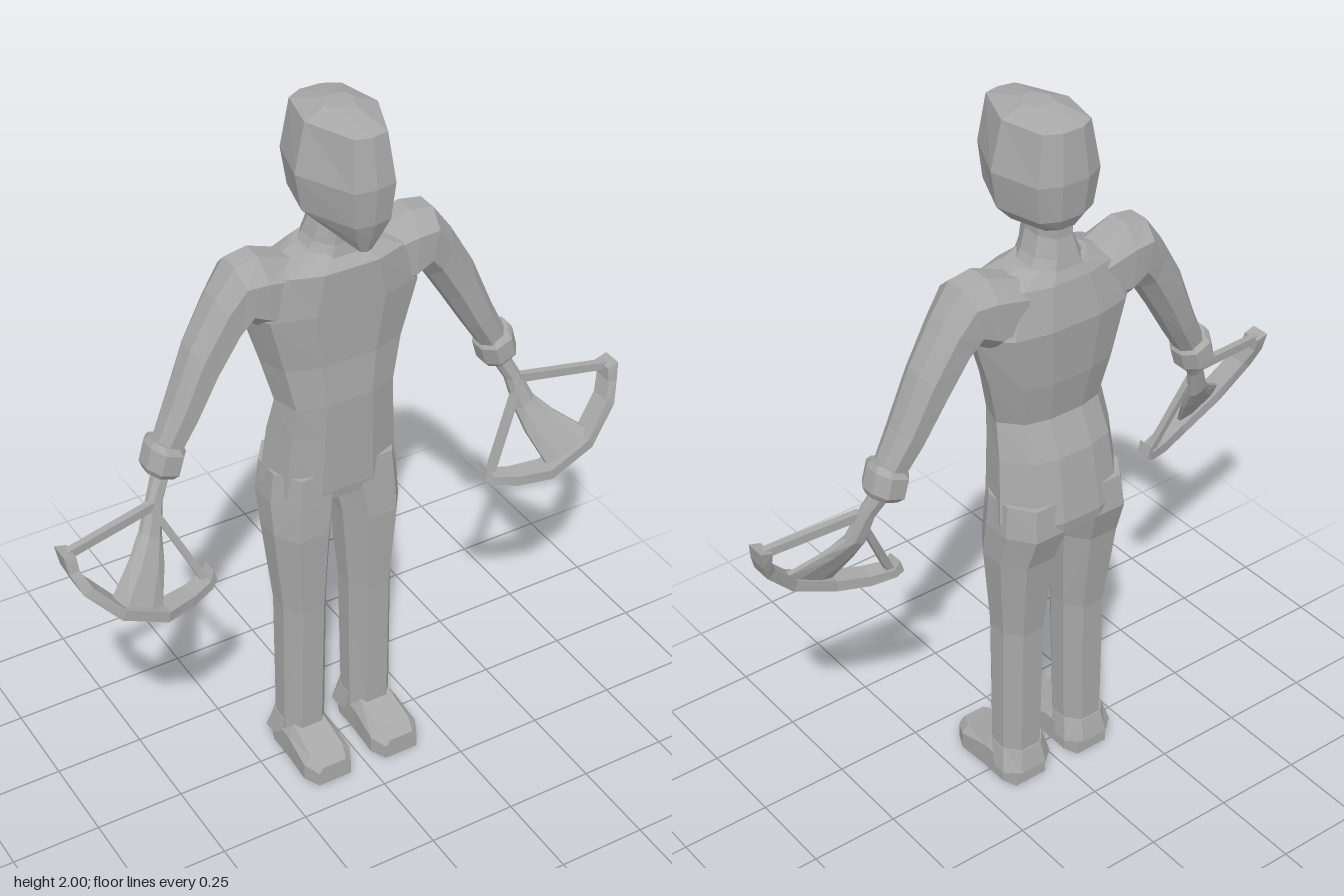
import * as THREE from 'three';

// Cross-section outlines: [t across the width, u from back to front]
const TRUNK = [[.3, 1], [.7, 1], [.93, .85], [1, .42], [.85, .1], [.65, 0], [.35, 0], [.15, .1], [0, .42], [.07, .85]];
const LIMB = [[.25, 1], [.75, 1], [1, .68], [1, .3], [.75, 0], [.25, 0], [0, .3], [0, .68]];
const HEAD = [[.28, .97], [.5, 1], [.72, .97], [1, .5], [.86, .08], [.65, 0], [.35, 0], [.14, .08], [0, .5]];
const BAR = [[0, 1], [1, 1], [1, 0], [0, 0]];

const grey = new THREE.MeshStandardMaterial({ color: 0xa8a8a8, flatShading: true });
grey.name = 'grey';

// One section spanning a to b in x and y, and zb to zf in depth; rise tilts its back upwards
function ring(shape, a, b, zf, zb, rise = 0) {
  return shape.map(([t, u]) => [
    a[0] + (b[0] - a[0]) * t,
    a[1] + (b[1] - a[1]) * t + rise * (1 - u),
    zb + (zf - zb) * u]);
}

// Closed skin through a series of sections, mirrored in x when side is -1
function loft(name, rings, side = 1) {
  const n = rings[0].length, last = rings.length - 1;
  const pts = rings.flat().map(([x, y, z]) => new THREE.Vector3(x * side, y, z));
  const centre = k => pts.slice(k * n, k * n + n)
    .reduce((s, p) => s.add(p), new THREE.Vector3()).divideScalar(n);
  const c0 = centre(0), c1 = centre(last), tris = [];
  for (let j = 0; j < n; j++) {
    const k = (j + 1) % n;
    for (let i = 0; i < last; i++) {
      const a = pts[i * n + j], b = pts[i * n + k], c = pts[(i + 1) * n + k], d = pts[(i + 1) * n + j];
      tris.push([a, b, c], [a, c, d]);
    }
    tris.push([c0, pts[k], pts[j]], [c1, pts[last * n + j], pts[last * n + k]]);
  }
  // Turn every face outwards
  const volume = tris.reduce((v, [a, b, c]) => v + a.clone().sub(c0).dot(
    b.clone().sub(c0).cross(c.clone().sub(c0))), 0);
  if (volume < 0) tris.forEach(t => t.reverse());
  const geometry = new THREE.BufferGeometry().setFromPoints(tris.flat());
  geometry.computeVertexNormals();
  const mesh = new THREE.Mesh(geometry, grey);
  mesh.name = name;
  return mesh;
}

// Section symmetric about the middle of the body
const level = (shape, y, w, zf, zb, rise) => ring(shape, [-w, y], [w, y], zf, zb, rise);

function limbs(side) {
  const g = new THREE.Group();
  g.name = side > 0 ? 'leftLimbs' : 'rightLimbs';

  // Leg: height, inner x, outer x, front z, back z
  g.add(loft('leg', [
    [.96, .0, .18, .045, -.165],
    [.87, .0, .19, .05, -.175],
    [.77, .018, .19, .055, -.14],
    [.52, .035, .167, .042, -.105],
    [.07, .042, .168, .035, -.095],
  ].map(([y, i, o, f, b]) => ring(LIMB, [i, y], [o, y], f, b)), side));

  // Flared trouser hem at the heel
  g.add(loft('trouserHem', [
    ring(LIMB, [.04, .115], [.17, .115], .03, -.1),
    ring(LIMB, [.027, .05], [.186, .05], 0, -.115),
  ], side));

  // Foot: sections from heel to toe as z, half width, top height
  const foot = [[-.1, .05, .09], [-.06, .066, .1], [.02, .066, .105], [.12, .072, .072], [.165, .05, .06]];
  g.add(loft('foot', foot.map(([z, w, h]) => {
    const c = .107;
    return [[c - w, 0, z], [c + w, 0, z], [c + w, h * .7, z], [c + w * .7, h, z], [c - w * .7, h, z], [c - w, h * .7, z]];
  }), side));

  // Arm: outer edge, inner edge, front z, back z
  g.add(loft('arm', [
    [[.12, 1.595], [.12, 1.44], .03, -.12],
    [[.215, 1.63], [.2, 1.42], .04, -.12],
    [[.28, 1.62], [.245, 1.455], .038, -.115],
    [[.335, 1.545], [.275, 1.42], .03, -.105],
    [[.405, 1.425], [.335, 1.325], .025, -.095],
    [[.465, 1.28], [.395, 1.225], .025, -.08],
    [[.52, 1.165], [.455, 1.13], .02, -.06],
  ].map(([o, i, f, b]) => ring(LIMB, o, i, f, b)), side));

  // Chunky wrist band
  g.add(loft('wristBand', [
    [[.52, 1.2], [.445, 1.165], .02, -.06],
    [[.53, 1.185], [.435, 1.145], .035, -.078],
    [[.545, 1.13], [.45, 1.095], .035, -.078],
    [[.54, 1.11], [.465, 1.08], .02, -.06],
  ].map(([o, i, f, b]) => ring(LIMB, o, i, f, b)), side));

  // Hand widening into a fan that meets the curved rim
  g.add(loft('hand', [
    [[.52, 1.11], [.48, 1.09], .01, -.04],
    [[.55, 1.05], [.512, 1.03], .025, -.015],
    [[.585, .97], [.53, .945], .05, .005],
    [[.635, .92], [.545, .88], .085, .045],
    [[.715, .86], [.58, .795], .135, .1],
  ].map(([o, i, f, b]) => ring(LIMB, o, i, f, b)), side));

  // Curved rim: outer edge, inner edge, front z, back z
  g.add(loft('curvedRim', [
    [[.82, 1.025], [.787, 1.015], .09, .035],
    [[.812, .975], [.785, .98], .1, .045],
    [[.79, .92], [.765, .935], .125, .065],
    [[.705, .825], [.69, .85], .153, .09],
    [[.58, .765], [.575, .795], .153, .09],
    [[.49, .755], [.49, .785], .12, .065],
    [[.425, .765], [.43, .79], .095, .045],
    [[.405, .78], [.415, .815], .085, .04],
  ].map(([o, i, f, b]) => ring(BAR, o, i, f, b)), side));

  // Two thin struts from the wrist to the ends of the rim
  g.add(loft('upperStrut', [
    ring(BAR, [.545, 1.045], [.545, 1.02], .03, .01),
    ring(BAR, [.8, 1.02], [.8, .997], .07, .05),
  ], side));
  g.add(loft('lowerStrut', [
    ring(BAR, [.562, 1.035], [.54, 1.03], .03, .01),
    ring(BAR, [.447, .79], [.425, .79], .075, .055),
  ], side));
  return g;
}

export function createModel() {
  const model = new THREE.Group();
  model.name = 'figure';

  // Torso: height, half width, front z, back z
  model.add(loft('torso', [
    [1.61, .1, .035, -.115],
    [1.575, .19, .07, -.13],
    [1.46, .245, .065, -.15],
    [1.3, .195, .055, -.135],
    [1.18, .165, .06, -.11],
    [1.08, .175, .055, -.15],
    [.9, .19, .05, -.18],
    [.87, .185, .045, -.175],
  ].map(r => level(TRUNK, ...r))));

  model.add(loft('neck', [
    [1.57, .1, .05, -.125],
    [1.63, .065, .04, -.112],
    [1.68, .048, .04, -.1],
    [1.76, .048, .04, -.1],
  ].map(r => level(LIMB, ...r))));

  // Head: height, half width, front z, back z, tilt
  model.add(loft('head', [
    [2, .04, .05, -.03, 0],
    [1.975, .1, .16, -.13, 0],
    [1.845, .13, .18, -.142, 0],
    [1.745, .113, .17, -.13, 0],
    [1.69, .07, .15, -.11, .02],
    [1.655, .035, .135, .0, .04],
  ].map(r => level(HEAD, ...r))));

  model.add(limbs(1), limbs(-1));
  return model;
}
